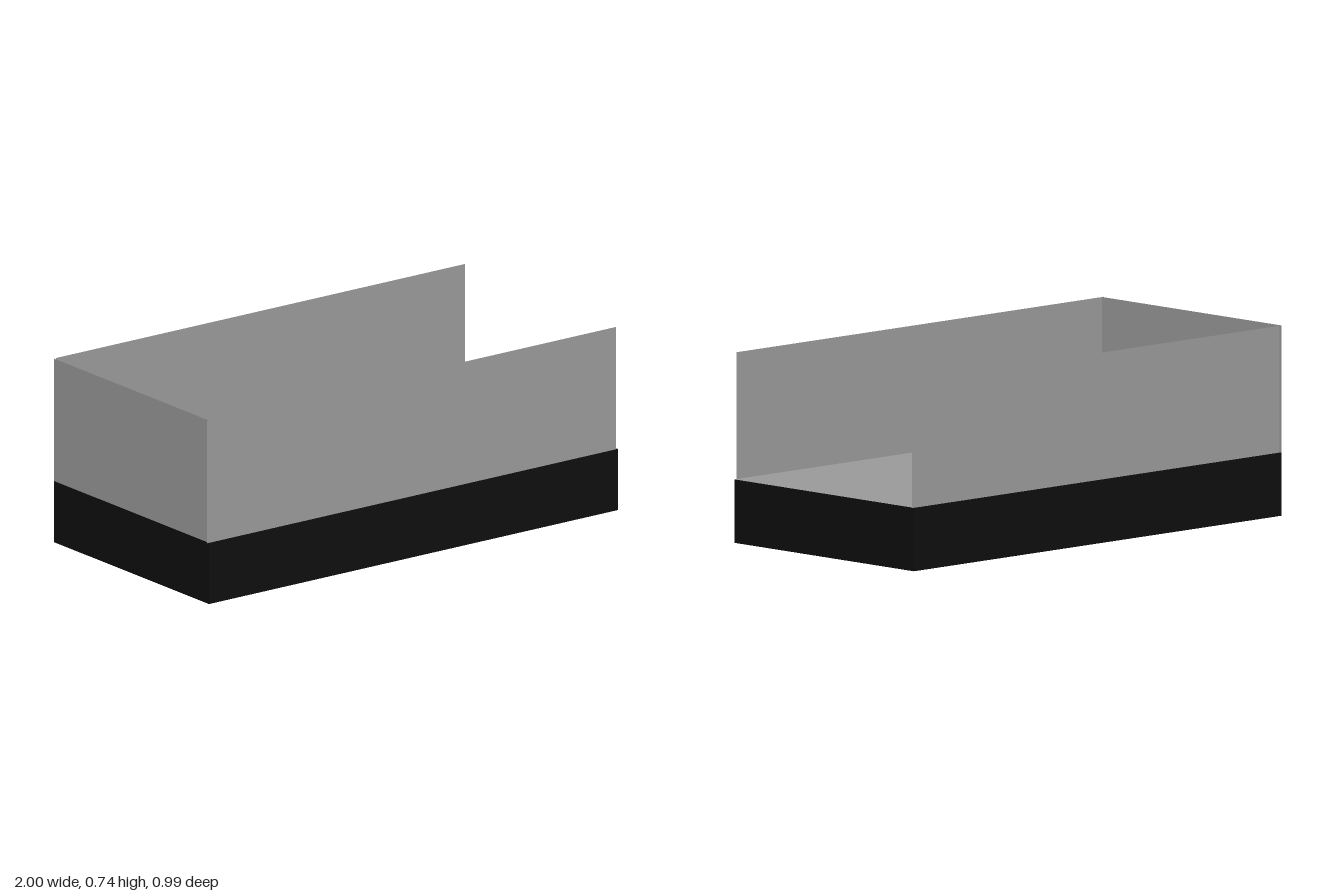
import * as THREE from 'three';

const LENGTH = 1.98, DEPTH = 0.99, BASE_HEIGHT = 0.2475, WALL_HEIGHT = 0.495, SHIFT = 0.01;

export function createModel() {
  const model = new THREE.Group();
  model.name = 'openEndedTray';

  const grey = new THREE.MeshStandardMaterial({ color: 0x999999, side: THREE.DoubleSide });
  grey.name = 'panelGrey';
  const black = new THREE.MeshStandardMaterial({ color: 0x0e0e0e });
  black.name = 'baseBlack';

  // Solid base: its top face (group 2) is the grey floor
  const base = new THREE.Mesh(
    new THREE.BoxGeometry(LENGTH, BASE_HEIGHT, DEPTH),
    [black, black, grey, black, black, black]
  );
  base.name = 'baseWithFloor';
  base.position.y = BASE_HEIGHT / 2;
  model.add(base);

  // Upright sheet panels standing on the edges of the base
  const addWall = (name, width, x, z, turn) => {
    const wall = new THREE.Mesh(new THREE.PlaneGeometry(width, WALL_HEIGHT), grey);
    wall.name = name;
    wall.position.set(x, BASE_HEIGHT + WALL_HEIGHT / 2, z);
    wall.rotation.y = turn;
    model.add(wall);
  };

  // The long walls are slightly offset along x; the +x end stays open
  addWall('frontWall', LENGTH, -SHIFT, DEPTH / 2, 0);
  addWall('backWall', LENGTH, SHIFT, -DEPTH / 2, Math.PI);
  addWall('endWall', DEPTH, -LENGTH / 2, 0, -Math.PI / 2);

  return model;
}
